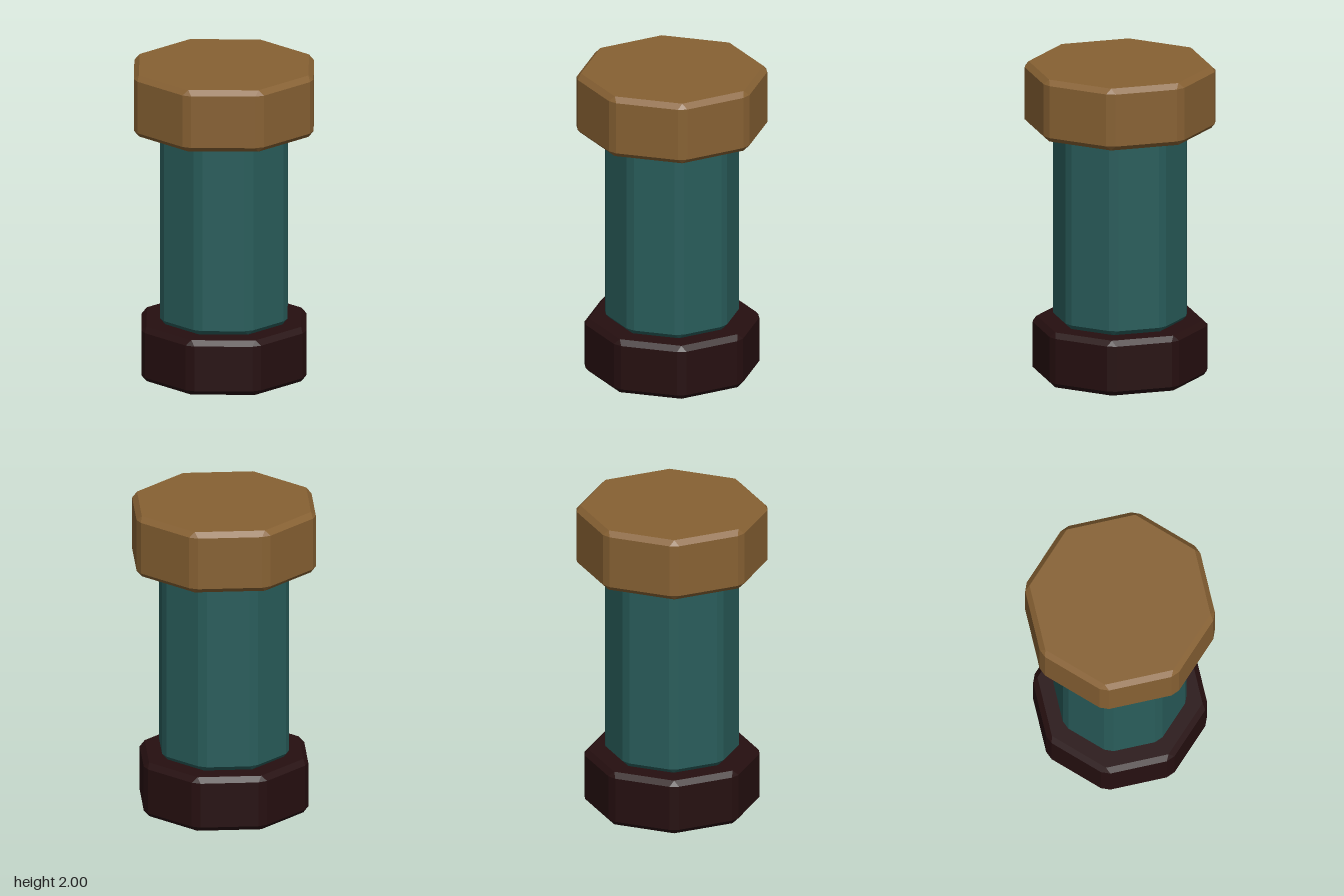
import * as THREE from 'three';

const SIDES = 8;
const STEP = (Math.PI * 2) / SIDES;

// Octagonal ring of 16 points: each corner is split into two points `cut` along its edges.
function ring(radius, cut, y) {
  const corner = (i) => new THREE.Vector3(Math.sin(i * STEP) * radius, y, Math.cos(i * STEP) * radius);
  const points = [];
  for (let i = 0; i < SIDES; i++) {
    for (const side of [-1, 1]) {
      const toward = corner(i + side).sub(corner(i)).normalize();
      points.push(corner(i).addScaledVector(toward, cut));
    }
  }
  return points;
}

// Octagonal prism with every edge chamfered; the cap corners stay sharp.
function chamferedPrism(radius, y0, y1, bevel) {
  const capRadius = radius - bevel / Math.cos(STEP / 2);
  const rings = [
    ring(capRadius, 0, y0),
    ring(radius, bevel, y0 + bevel),
    ring(radius, bevel, y1 - bevel),
    ring(capRadius, 0, y1),
  ];
  const positions = [];
  const triangle = (a, b, c) => {
    const area = b.clone().sub(a).cross(c.clone().sub(a)).length();
    if (area > 1e-7) for (const p of [a, b, c]) positions.push(p.x, p.y, p.z);
  };
  const count = SIDES * 2;
  const bottom = new THREE.Vector3(0, y0, 0);
  const top = new THREE.Vector3(0, y1, 0);
  for (let i = 0; i < count; i++) {
    const j = (i + 1) % count;
    for (let r = 0; r < 3; r++) {
      const lower = rings[r];
      const upper = rings[r + 1];
      triangle(lower[i], lower[j], upper[j]);
      triangle(lower[i], upper[j], upper[i]);
    }
    triangle(top, rings[3][i], rings[3][j]);
    triangle(bottom, rings[0][j], rings[0][i]);
  }
  const geometry = new THREE.BufferGeometry();
  geometry.setAttribute('position', new THREE.Float32BufferAttribute(positions, 3));
  geometry.computeVertexNormals(); // unshared corners give flat faces
  return geometry;
}

function material(name, color) {
  const m = new THREE.MeshStandardMaterial({ color });
  m.name = name;
  return m;
}

export function createModel() {
  const group = new THREE.Group();
  group.name = 'bolt';

  const add = (name, radius, y0, y1, mat) => {
    const mesh = new THREE.Mesh(chamferedPrism(radius, y0, y1, 0.032), mat);
    mesh.name = name;
    group.add(mesh);
  };

  // Foot, shaft (its top is sunk into the head) and head
  add('base', 0.555, 0, 0.355, material('dark maroon', 0x260f10));
  add('shaft', 0.428, 0.355, 1.65, material('deep teal', 0x295d5b));
  add('head', 0.605, 1.6, 2, material('bronze brown', 0x876133));

  return group;
}
